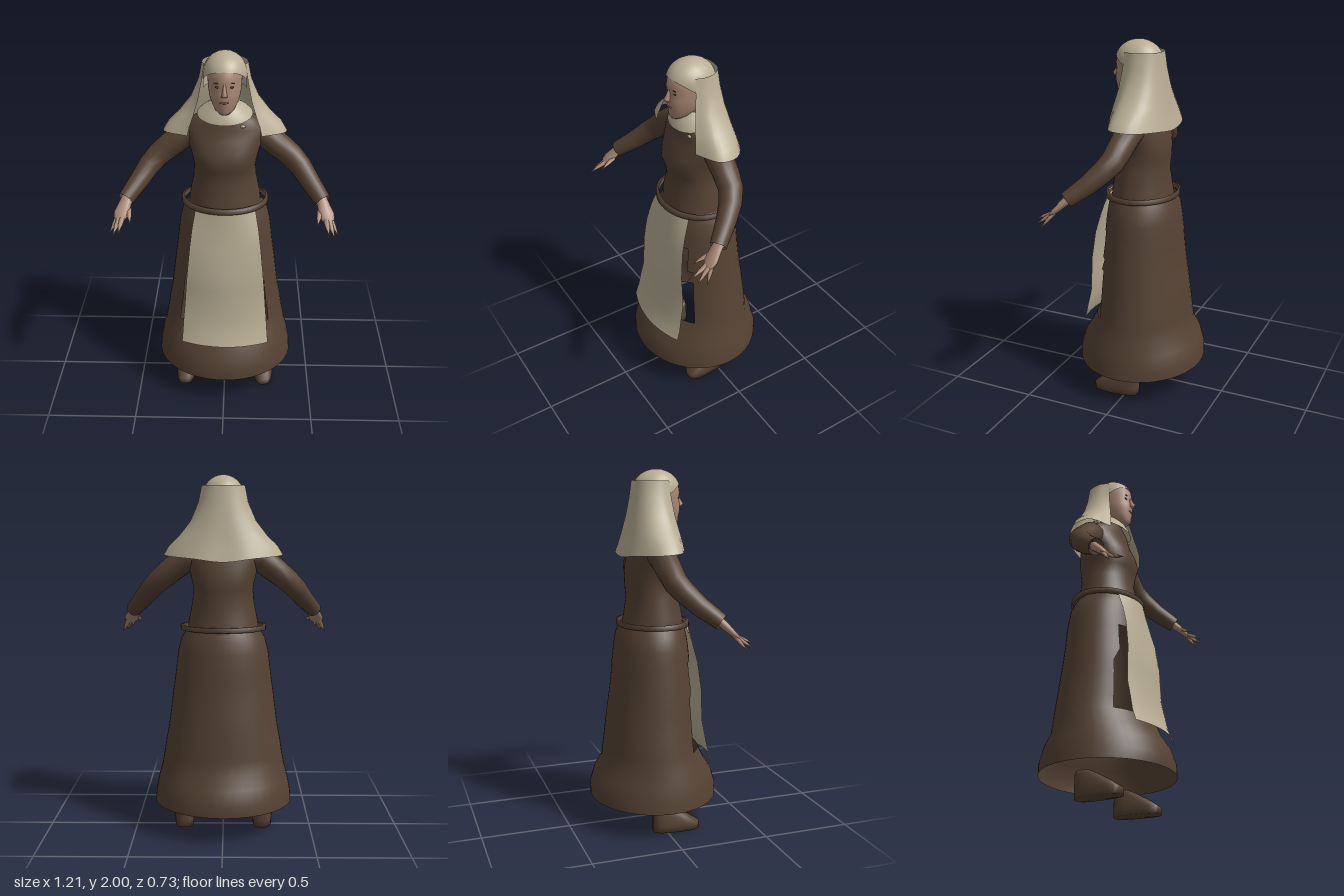
import * as THREE from 'three';

const V = (x, y, z) => new THREE.Vector3(x, y, z);

// Skin a list of point rows (bottom to top); keep() can leave triangles out
function loft(rows, closed = true, keep = null) {
  const n = rows[0].length, index = [];
  const pts = rows.flat();
  const add = (...t) => {
    const c = V(0, 0, 0);
    t.forEach((i) => c.addScaledVector(pts[i], 1 / 3));
    if (!keep || keep(c)) index.push(...t);
  };
  for (let i = 0; i < rows.length - 1; i++) {
    for (let j = 0; j < (closed ? n : n - 1); j++) {
      const k = (j + 1) % n;
      const a = i * n + j, b = i * n + k, c = b + n, d = a + n;
      add(a, b, c);
      add(a, c, d);
    }
  }
  const g = new THREE.BufferGeometry().setFromPoints(pts);
  g.setIndex(index);
  g.computeVertexNormals();
  return g;
}

// Rounded horizontal ring: height, half width, back z, front z, front dip, squareness
function ring([y, rx, zb, zf, dip = 0, p = 2], n = 40) {
  const pw = (v) => Math.sign(v) * Math.abs(v) ** (2 / p);
  return Array.from({ length: n }, (_, j) => {
    const t = (j / n) * Math.PI * 2;
    return V(rx * pw(Math.sin(t)), y - dip * Math.cos(t), (zb + zf) / 2 + ((zf - zb) / 2) * pw(Math.cos(t)));
  });
}
const stack = (profile, n) => loft(profile.map((r) => ring(r, n)));

// Tapering limb: stations [x, y, z, width, thickness]
function limb(stations, side, n = 14) {
  const c = stations.map(([x, y, z]) => V(x * side, y, z));
  return loft(stations.map(([, , , w, h = w], i) => {
    const t = c[Math.min(i + 1, c.length - 1)].clone().sub(c[Math.max(i - 1, 0)]).normalize();
    const u = V(side, 0.1, -0.2);
    u.addScaledVector(t, -u.dot(t)).normalize();
    const v = t.clone().cross(u);
    return Array.from({ length: n }, (_, j) => {
      const a = (j / n) * Math.PI * 2;
      return c[i].clone().addScaledVector(u, w * Math.cos(a)).addScaledVector(v, h * Math.sin(a));
    });
  }));
}

export function createModel() {
  const model = new THREE.Group();
  const mat = (name, color, side = THREE.FrontSide) => {
    const m = new THREE.MeshStandardMaterial({ color, side });
    m.name = name;
    return m;
  };
  const brown = mat('brown wool', 0x554233, THREE.DoubleSide);
  const linen = mat('cream linen', 0xb8ad94, THREE.DoubleSide);
  const skin = mat('skin', 0xa98874);
  const dark = mat('dark eye', 0x4a3a34);
  const lip = mat('lip', 0x85594e);
  const add = (name, geometry, material, parent = model) => {
    const m = new THREE.Mesh(geometry, material);
    m.name = name;
    parent.add(m);
    return m;
  };
  const blob = (name, material, parent, pos, scale) => {
    const m = add(name, new THREE.SphereGeometry(1, 12, 8), material, parent);
    m.position.set(...pos);
    m.scale.set(...scale);
  };

  // Skirt, with a ragged opening hidden behind the apron
  const skirtProfile = [
    [0.16, 0.39, -0.36, 0.36], [0.22, 0.385, -0.36, 0.36], [0.3, 0.37, -0.335, 0.335],
    [0.37, 0.35, -0.29, 0.29], [0.45, 0.335, -0.28, 0.25], [0.52, 0.325, -0.272, 0.245],
    [0.59, 0.311, -0.265, 0.24], [0.66, 0.301, -0.256, 0.235], [0.73, 0.292, -0.246, 0.228],
    [0.8, 0.283, -0.237, 0.22], [0.875, 0.272, -0.23, 0.21], [0.95, 0.263, -0.225, 0.203],
    [1.03, 0.253, -0.215, 0.195], [1.1, 0.235, -0.205, 0.185], [1.16, 0.2, -0.18, 0.168],
  ];
  add('skirt', loft(skirtProfile.map((r) => ring(r, 44)), true,
    (c) => !(c.z > 0.155 && c.y > 0.45 && c.y < 0.95)), brown);

  // Bodice and belt
  add('bodice', stack([
    [1.14, 0.2, -0.17, 0.17], [1.2, 0.193, -0.16, 0.165], [1.3, 0.173, -0.145, 0.143],
    [1.37, 0.167, -0.15, 0.152, 0, 2.3], [1.42, 0.174, -0.15, 0.167, 0, 2.4], [1.48, 0.19, -0.145, 0.152, 0, 2.3],
    [1.54, 0.22, -0.13, 0.125], [1.59, 0.225, -0.12, 0.105], [1.635, 0.175, -0.1, 0.1],
    [1.68, 0.1, -0.08, 0.085],
  ]), brown);
  add('belt', stack([
    [1.146, 0.225, -0.19, 0.185], [1.148, 0.24, -0.2, 0.203], [1.174, 0.24, -0.2, 0.203], [1.176, 0.225, -0.19, 0.185],
  ]), brown);

  // Apron: rows of height, half width, edge z, centre z
  const apron = [
    [0.37, 0.245, 0.275, 0.33], [0.43, 0.24, 0.255, 0.305], [0.5, 0.235, 0.243, 0.285],
    [0.6, 0.226, 0.222, 0.272], [0.7, 0.219, 0.22, 0.266], [0.8, 0.21, 0.22, 0.26],
    [0.95, 0.195, 0.203, 0.23], [1.05, 0.182, 0.178, 0.213], [1.155, 0.163, 0.14, 0.2],
  ];
  add('apron', loft(apron.map(([y, w, ze, zc]) => Array.from({ length: 17 }, (_, j) => {
    const s = j / 8 - 1;
    return V(0.005 + w * s, y, zc + (ze - zc) * s * s);
  })), false), linen);

  // Arms, hands and shoes
  const fingers = [
    [[0.56, 1.172, 0.25], [0.605, 1.092, 0.31]],
    [[0.555, 1.165, 0.262], [0.582, 1.1, 0.35]],
    [[0.54, 1.165, 0.265], [0.552, 1.12, 0.365]],
    [[0.51, 1.195, 0.23], [0.493, 1.155, 0.32]],
  ];
  for (const side of [1, -1]) {
    const label = side > 0 ? 'left' : 'right';
    add(label + 'Sleeve', limb([
      [0.1, 1.56, -0.015, 0.07], [0.21, 1.54, -0.01, 0.075], [0.3, 1.47, 0, 0.069], [0.36, 1.42, 0.01, 0.065],
      [0.41, 1.372, 0.045, 0.06], [0.46, 1.31, 0.105, 0.053], [0.527, 1.237, 0.195, 0.044],
    ], side, 18), brown);
    const hand = new THREE.Group();
    hand.name = label + 'Hand';
    model.add(hand);
    add('palm', limb([
      [0.515, 1.25, 0.178, 0.03, 0.025], [0.528, 1.22, 0.21, 0.034, 0.022],
      [0.545, 1.18, 0.25, 0.042, 0.017], [0.557, 1.158, 0.274, 0.03, 0.01], [0.56, 1.153, 0.28, 0.001],
    ], side), skin, hand);
    for (const [a, b] of fingers) {
      const mid = a.map((v, i) => v * 0.5 + b[i] * 0.5);
      add('finger', limb([[...a, 0.016, 0.012], [...mid, 0.012, 0.009], [...b, 0.001]], side, 8), skin, hand);
    }
    const shoe = add(label + 'Shoe', stack([
      [0, 0.001, 0.06, 0.062], [0, 0.054, -0.07, 0.195, 0, 3], [0.04, 0.057, -0.07, 0.197, 0, 3],
      [0.085, 0.05, -0.07, 0.13, 0, 2.8], [0.125, 0.042, -0.07, 0.06, 0, 2.6],
      [0.145, 0.034, -0.065, 0.02, 0, 2.4], [0.145, 0.001, -0.02, -0.018],
    ], 24), brown);
    shoe.position.x = 0.225 * side;
    shoe.rotation.y = 0.06 * side;
  }

  // Head and face
  const head = new THREE.Group();
  head.name = 'head';
  model.add(head);
  add('neck', stack([[1.62, 0.06, -0.05, 0.07], [1.76, 0.055, -0.05, 0.08]]), skin, head);
  add('face', stack([
    [1.692, 0.001, 0.1, 0.102], [1.694, 0.03, 0.05, 0.138], [1.712, 0.052, 0.01, 0.147], [1.745, 0.07, -0.04, 0.15],
    [1.775, 0.08, -0.06, 0.156], [1.81, 0.086, -0.07, 0.156], [1.845, 0.089, -0.08, 0.149],
    [1.87, 0.09, -0.08, 0.155], [1.92, 0.088, -0.07, 0.147], [1.955, 0.07, -0.05, 0.115],
  ]), skin, head);
  add('nose', stack([
    [1.795, 0.002, 0.145, 0.155], [1.8, 0.017, 0.135, 0.173], [1.812, 0.014, 0.135, 0.181],
    [1.835, 0.009, 0.13, 0.167], [1.862, 0.007, 0.13, 0.155],
  ], 16), skin, head);
  blob('mouth', lip, head, [0, 1.766, 0.153], [0.024, 0.006, 0.006]);
  for (const s of [1, -1]) {
    blob('eye', dark, head, [0.036 * s, 1.845, 0.139], [0.014, 0.005, 0.005]);
    blob('brow', dark, head, [0.037 * s, 1.867, 0.143], [0.018, 0.002, 0.004]);
  }

  // Close cap with its rim lifted over the forehead
  const capRows = Array.from({ length: 13 }, (_, i) => Array.from({ length: 40 }, (_, j) => {
    const t = (j / 40) * Math.PI * 2;
    const rim = -0.85 + 1.2 * Math.sqrt(Math.max(0, Math.cos(t)));
    const phi = rim + (Math.PI / 2 - rim) * (i / 12);
    const r = Math.max(Math.cos(Math.max(phi, 0)), 0.001);
    return V(0.115 * r * Math.sin(t), 1.885 + 0.115 * Math.sin(phi), 0.023 + 0.133 * r * Math.cos(t));
  }));
  add('cap', loft(capRows), linen);

  // Collar and small pin
  add('collar', stack([
    [1.665, 0.148, -0.1, 0.132, 0.032], [1.685, 0.128, -0.09, 0.125, 0.025],
    [1.705, 0.1, -0.075, 0.108, 0.015], [1.73, 0.072, -0.06, 0.085],
  ]), linen);
  blob('pin', linen, model, [0.095, 1.615, 0.09], [0.014, 0.009, 0.008]);

  // Veil: front height, back height, then half outline (x, z) from front edge to back
  const veil = [
    [1.57, 1.53, [0.195, 0.118], [0.322, 0.045], [0.315, -0.06], [0.16, -0.165], [0, -0.18]],
    [1.615, 1.59, [0.185, 0.11], [0.295, 0.04], [0.285, -0.065], [0.14, -0.153], [0, -0.165]],
    [1.67, 1.66, [0.165, 0.1], [0.24, 0.03], [0.222, -0.075], [0.115, -0.14], [0, -0.15]],
    [1.75, 1.75, [0.14, 0.083], [0.18, 0.02], [0.16, -0.075], [0.085, -0.125], [0, -0.137]],
    [1.85, 1.85, [0.12, 0.068], [0.138, 0], [0.118, -0.072], [0.067, -0.11], [0, -0.122]],
    [1.94, 1.94, [0.105, 0.06], [0.12, 0], [0.1, -0.065], [0.06, -0.1], [0, -0.11]],
  ];
  add('veil', loft(veil.map(([yf, yb, ...half]) => {
    const right = half.map(([x, z], i) => V(x, yf + (yb - yf) * (i / 4) ** 2, z));
    const left = right.slice(0, 4).reverse().map((p) => V(-p.x, p.y, p.z));
    return new THREE.CatmullRomCurve3([...right, ...left]).getPoints(40);
  }), false), linen);

  return model;
}
